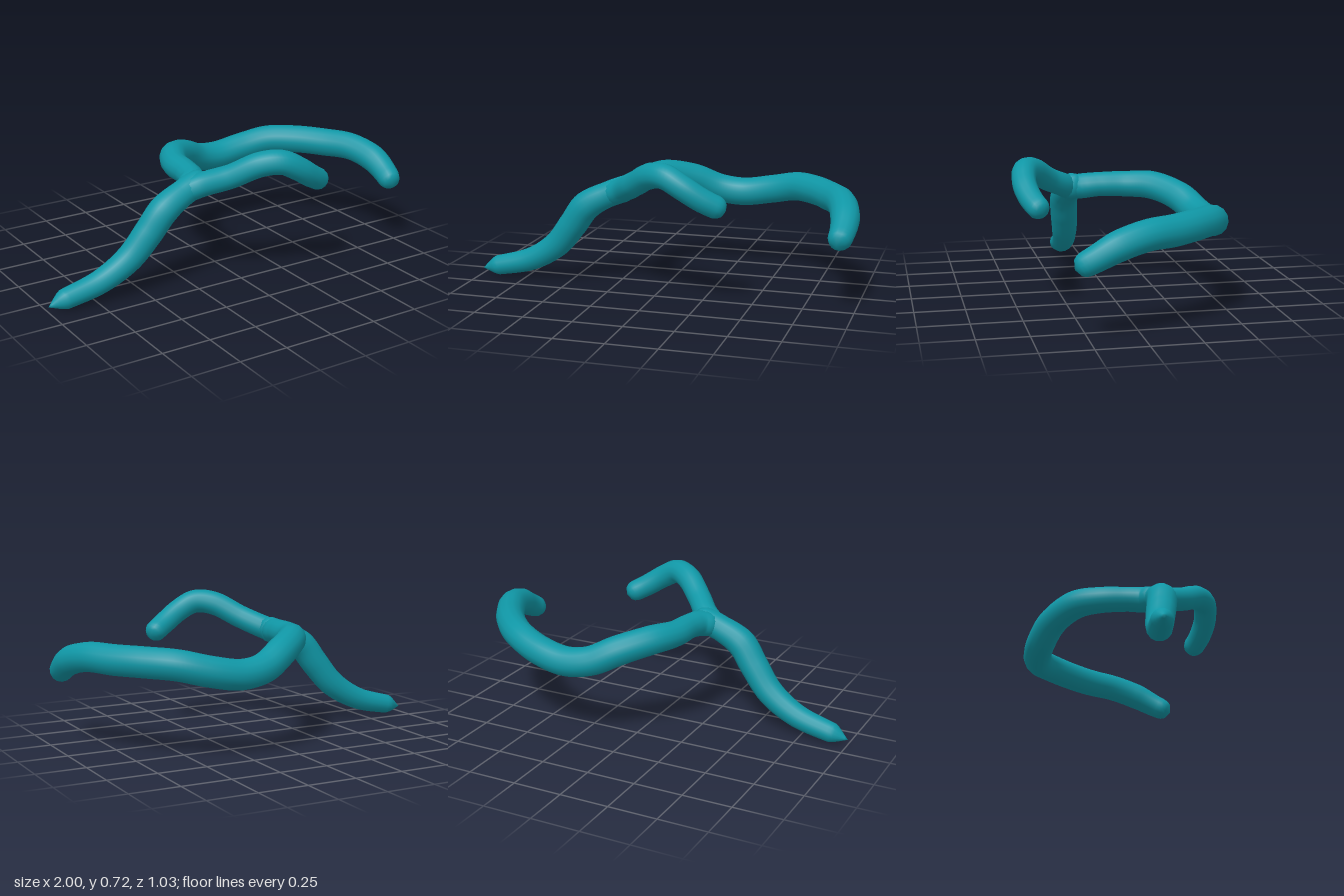
import * as THREE from 'three';
import { mergeVertices } from 'three/addons/utils/BufferGeometryUtils.js';

// Tapered limb swept through stations [x, y, z, radius], with rounded ends
function limb(name, stations, segments, material, roundStart = true) {
  const sides = 14;
  const curve = new THREE.CatmullRomCurve3(stations.map(([x, y, z]) => new THREE.Vector3(x, y, z)));
  const length = curve.getLength();
  const geometry = new THREE.TubeGeometry(curve, segments, 1, sides, false);
  const pos = geometry.attributes.position;
  const v = new THREE.Vector3();
  for (let i = 0; i <= segments; i++) {
    const u = i / segments;
    const centre = curve.getPointAt(u);
    const s = curve.getUtoTmapping(u) * (stations.length - 1);
    const k = Math.min(Math.floor(s), stations.length - 2);
    let r = THREE.MathUtils.lerp(stations[k][3], stations[k + 1][3], s - k);
    // round off the ends
    const d = (roundStart ? Math.min(u, 1 - u) : 1 - u) * length;
    if (d < r) r *= Math.sqrt(Math.max(0, 1 - (1 - d / r) ** 2));
    for (let j = 0; j <= sides; j++) {
      const n = i * (sides + 1) + j;
      v.fromBufferAttribute(pos, n).sub(centre).multiplyScalar(r).add(centre);
      pos.setXYZ(n, v.x, v.y, v.z);
    }
  }
  // weld the seam and the poles so shading is smooth
  geometry.deleteAttribute('uv');
  geometry.deleteAttribute('normal');
  const welded = mergeVertices(geometry, 1e-5);
  welded.computeVertexNormals();
  const mesh = new THREE.Mesh(welded, material);
  mesh.name = name;
  return mesh;
}

export function createModel() {
  const group = new THREE.Group();
  group.name = 'branchingTube';
  const teal = new THREE.MeshStandardMaterial({ color: 0x1097a6 });
  teal.name = 'teal';

  // main stem, pointed at its low end
  group.add(limb('stem', [
    [-1.0, 0.035, 0.1, 0],
    [-0.92, 0.055, 0.1, 0.051],
    [-0.72, 0.108, 0.108, 0.06],
    [-0.57, 0.2, 0.122, 0.068],
    [-0.47, 0.32, 0.14, 0.073],
    [-0.39, 0.425, 0.153, 0.075],
    [-0.28, 0.488, 0.148, 0.067],
    [-0.18, 0.525, 0.14, 0.068],
    [-0.13, 0.53, 0.14, 0.06],
  ], 60, teal, false));

  // long branch sweeping round the back to the left side
  group.add(limb('longBranch', [
    [-0.27, 0.5, 0.145, 0.06],
    [-0.19, 0.52, 0.09, 0.066],
    [-0.168, 0.53, 0, 0.063],
    [-0.15, 0.53, -0.14, 0.067],
    [-0.09, 0.53, -0.26, 0.073],
    [0.04, 0.49, -0.375, 0.076],
    [0.16, 0.435, -0.43, 0.075],
    [0.29, 0.417, -0.45, 0.075],
    [0.45, 0.443, -0.437, 0.075],
    [0.59, 0.476, -0.385, 0.075],
    [0.71, 0.484, -0.28, 0.075],
    [0.81, 0.484, -0.15, 0.075],
    [0.885, 0.484, -0.01, 0.073],
    [0.925, 0.45, 0.13, 0.072],
    [0.93, 0.4, 0.23, 0.063],
    [0.915, 0.35, 0.323, 0.055],
  ], 110, teal));

  // short branch arching over toward the front
  group.add(limb('shortBranch', [
    [-0.29, 0.485, 0.14, 0.06],
    [-0.19, 0.525, 0.18, 0.062],
    [-0.09, 0.58, 0.285, 0.061],
    [0.02, 0.648, 0.378, 0.063],
    [0.11, 0.658, 0.43, 0.062],
    [0.2, 0.613, 0.445, 0.06],
    [0.29, 0.555, 0.427, 0.058],
    [0.395, 0.497, 0.38, 0.055],
  ], 64, teal));

  return group;
}
